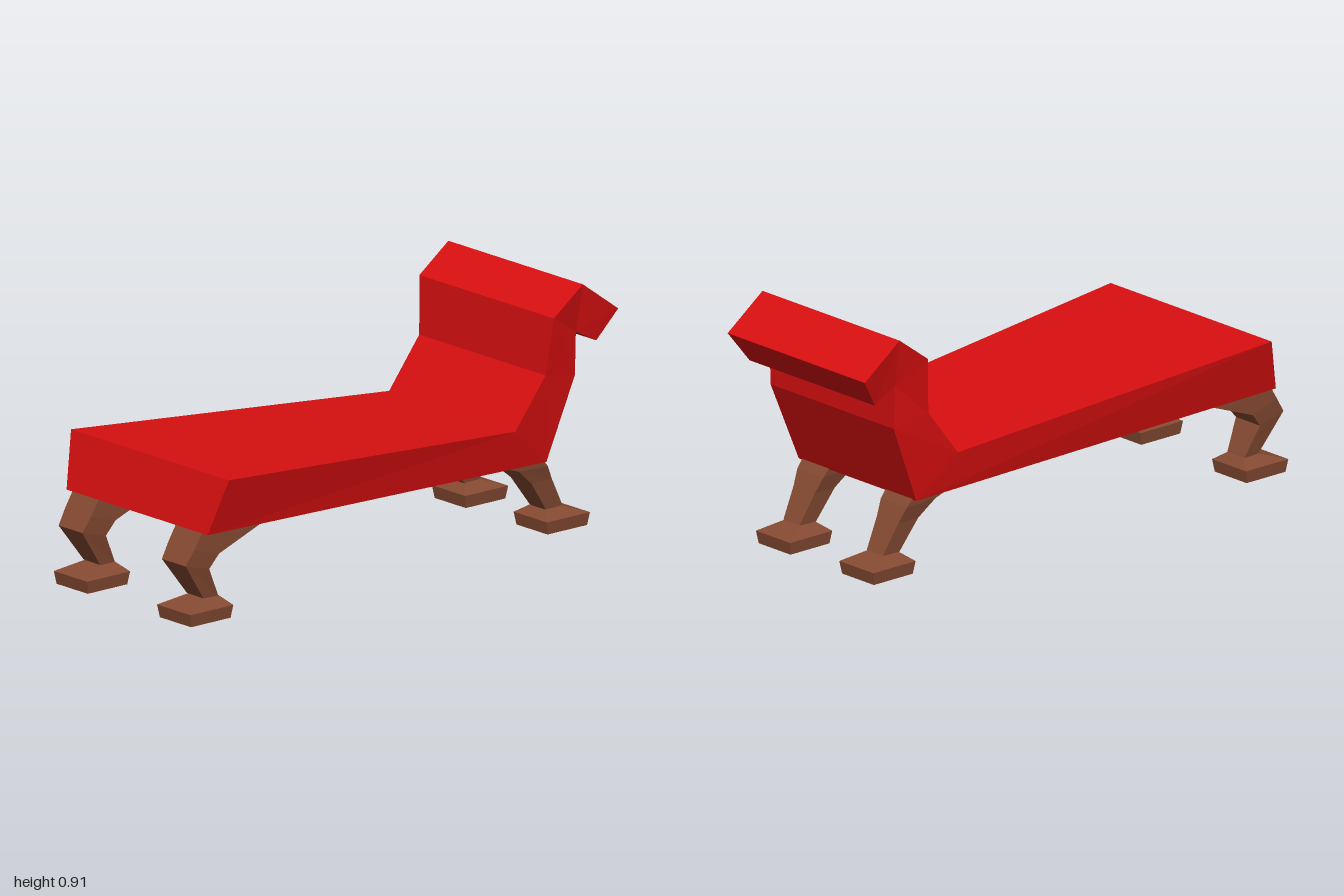
import * as THREE from 'three';

// Skins a row of four-cornered sections. Each section is two edges across x:
// [z, y, halfWidth] of the first edge, then of the second edge.
function loft(sections, skip = []) {
  const rings = sections.map(([[z1, y1, w1], [z2, y2, w2]]) => [
    new THREE.Vector3(w1, y1, z1), new THREE.Vector3(-w1, y1, z1),
    new THREE.Vector3(-w2, y2, z2), new THREE.Vector3(w2, y2, z2),
  ]);
  const pos = [];
  const tri = (a, b, c) => {
    if (a.equals(b) || b.equals(c) || a.equals(c)) return;
    for (const p of [a, b, c]) pos.push(p.x, p.y, p.z);
  };
  const quad = (a, b, c, d) => { tri(a, b, c); tri(a, c, d); };
  for (let i = 0; i + 1 < rings.length; i++) {
    for (let k = 0; k < 4; k++) {
      if (skip.includes(`${i},${k}`)) continue;
      const n = (k + 1) % 4;
      quad(rings[i][k], rings[i + 1][k], rings[i + 1][n], rings[i][n]);
    }
  }
  const last = rings[rings.length - 1];
  quad(...rings[0]);
  quad(last[3], last[2], last[1], last[0]);
  const geo = new THREE.BufferGeometry();
  geo.setAttribute('position', new THREE.Float32BufferAttribute(pos, 3));
  geo.computeVertexNormals();
  return geo;
}

export function createModel() {
  const model = new THREE.Group();
  const upholstery = new THREE.MeshStandardMaterial({ color: 0xd80f10, flatShading: true, side: THREE.DoubleSide });
  upholstery.name = 'red upholstery';
  const wood = new THREE.MeshStandardMaterial({ color: 0x854a32, flatShading: true, side: THREE.DoubleSide });
  wood.name = 'brown wood';

  // Seat, back and rolled headrest in one shell, open beneath the seat
  const body = new THREE.Mesh(loft([
    [[0.87, 0.53, 0.425], [0.93, 0.33, 0.38]],
    [[-0.54, 0.42, 0.34], [-0.71, 0.27, 0.31]],
    [[-0.68, 0.6, 0.34], [-0.83, 0.57, 0.325]],
    [[-0.7, 0.81, 0.362], [-0.83, 0.73, 0.33]],
    [[-0.835, 0.91, 0.362], [-0.83, 0.73, 0.33]],
    [[-1, 0.79, 0.362], [-0.925, 0.68, 0.33]],
  ], ['0,2']), upholstery);
  body.name = 'seatAndBackrest';
  model.add(body);

  // Curved legs, from the seat down to the ankle: [backZ, backY, frontZ, frontY, halfWidth]
  const legSections = (rows) => rows.map(([bz, by, fz, fy, w]) => [[bz, by, w], [fz, fy, w]]);
  const frontLeg = loft(legSections([
    [0.64, 0.32, 0.93, 0.33, 0.071],
    [0.85, 0.24, 0.965, 0.275, 0.07],
    [0.89, 0.19, 1.0, 0.22, 0.064],
    [0.83, 0.075, 0.9, 0.08, 0.044],
  ]));
  const backLeg = loft(legSections([
    [-0.71, 0.275, -0.5, 0.285, 0.071],
    [-0.735, 0.245, -0.6, 0.25, 0.069],
    [-0.765, 0.19, -0.67, 0.19, 0.056],
    [-0.825, 0.08, -0.75, 0.075, 0.043],
  ]));

  // Flared square foot with a hollow underside, ankle centred slightly off the middle
  const foot = (ankle, middle) => loft(legSections([
    [ankle - 0.036, 0.078, ankle + 0.036, 0.078, 0.044],
    [middle - 0.1, 0.047, middle + 0.1, 0.047, 0.09],
    [middle - 0.092, 0, middle + 0.092, 0, 0.084],
    [middle - 0.01, 0.03, middle + 0.01, 0.03, 0.01],
  ]));

  const sets = [
    ['front', 0.278, frontLeg, foot(0.865, 0.9)],
    ['back', 0.22, backLeg, foot(-0.787, -0.813)],
  ];
  for (const [place, x, legGeo, footGeo] of sets) {
    for (const side of [1, -1]) {
      const group = new THREE.Group();
      group.name = `${place}${side > 0 ? 'Left' : 'Right'}Leg`;
      const leg = new THREE.Mesh(legGeo, wood);
      leg.name = 'leg';
      const footMesh = new THREE.Mesh(footGeo, wood);
      footMesh.name = 'foot';
      group.add(leg, footMesh);
      group.position.x = side * x;
      model.add(group);
    }
  }
  return model;
}
